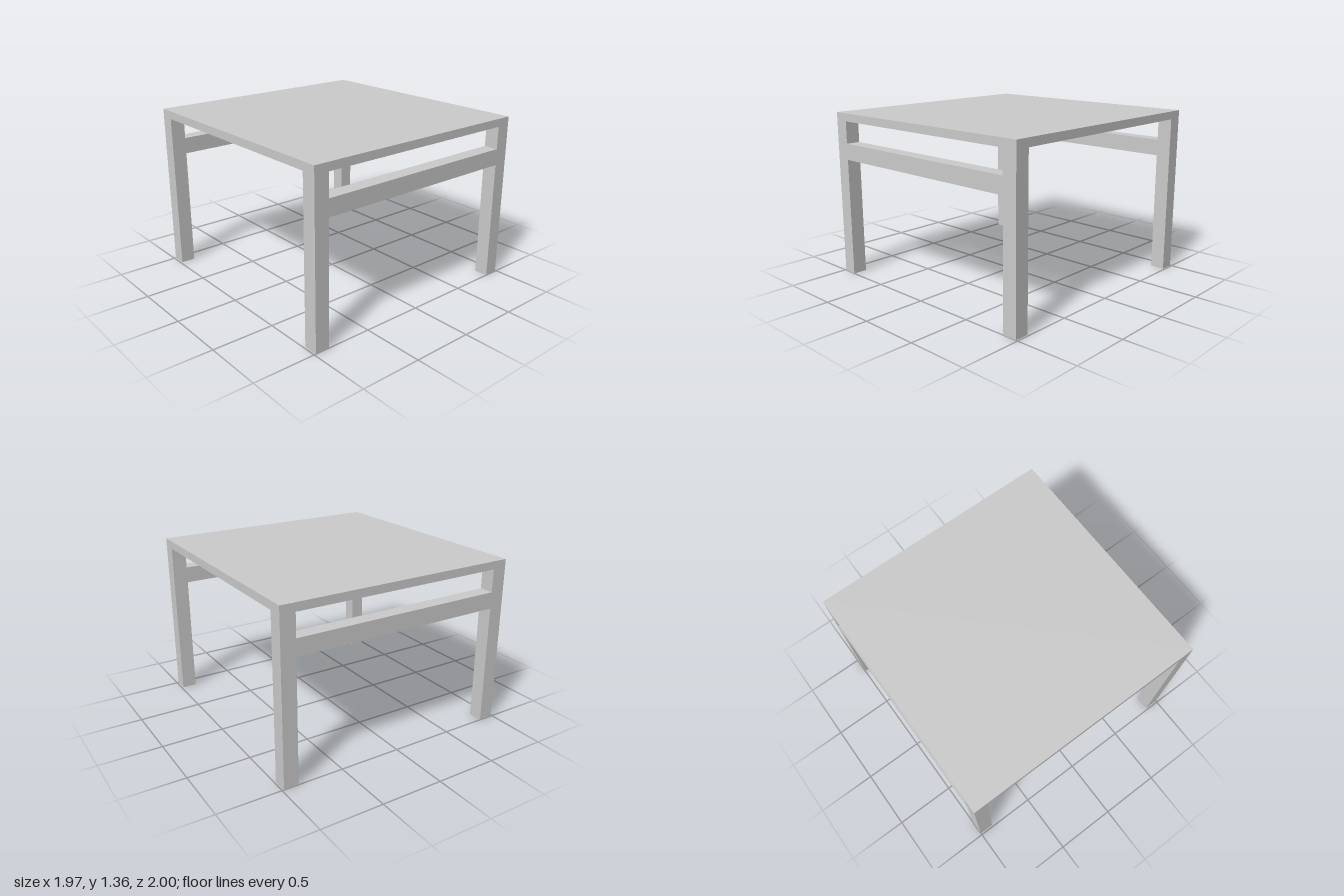
import * as THREE from 'three';

export function createModel() {
  const table = new THREE.Group();
  table.name = 'table';
  const material = new THREE.MeshStandardMaterial({ color: 0xcccccc, flatShading: true });

  const width = 1.97, depth = 2, height = 1.36;
  const topThickness = 0.065, legWidth = 0.118, legDepth = 0.118;
  const underside = height - topThickness;

  // Box given by its size and the centre of its base
  function addBox(name, w, h, d, x, y, z) {
    const mesh = new THREE.Mesh(new THREE.BoxGeometry(w, h, d), material);
    mesh.name = name;
    mesh.position.set(x, y + h / 2, z);
    table.add(mesh);
  }

  addBox('tableTop', width, topThickness, depth, 0, underside, 0);

  // One frame of two legs and a rail at the front and at the back
  const legX = (width - legWidth) / 2;
  const frameZ = (depth - legDepth) / 2;
  for (const [end, sz] of [['front', 1], ['back', -1]]) {
    for (const [side, sx] of [['Left', 1], ['Right', -1]]) {
      addBox(`${end}${side}Leg`, legWidth, underside, legDepth, sx * legX, 0, sz * frameZ);
    }
    addBox(`${end}Rail`, width - 2 * legWidth, 0.133, legDepth, 0, 0.98, sz * frameZ);
  }

  return table;
}
